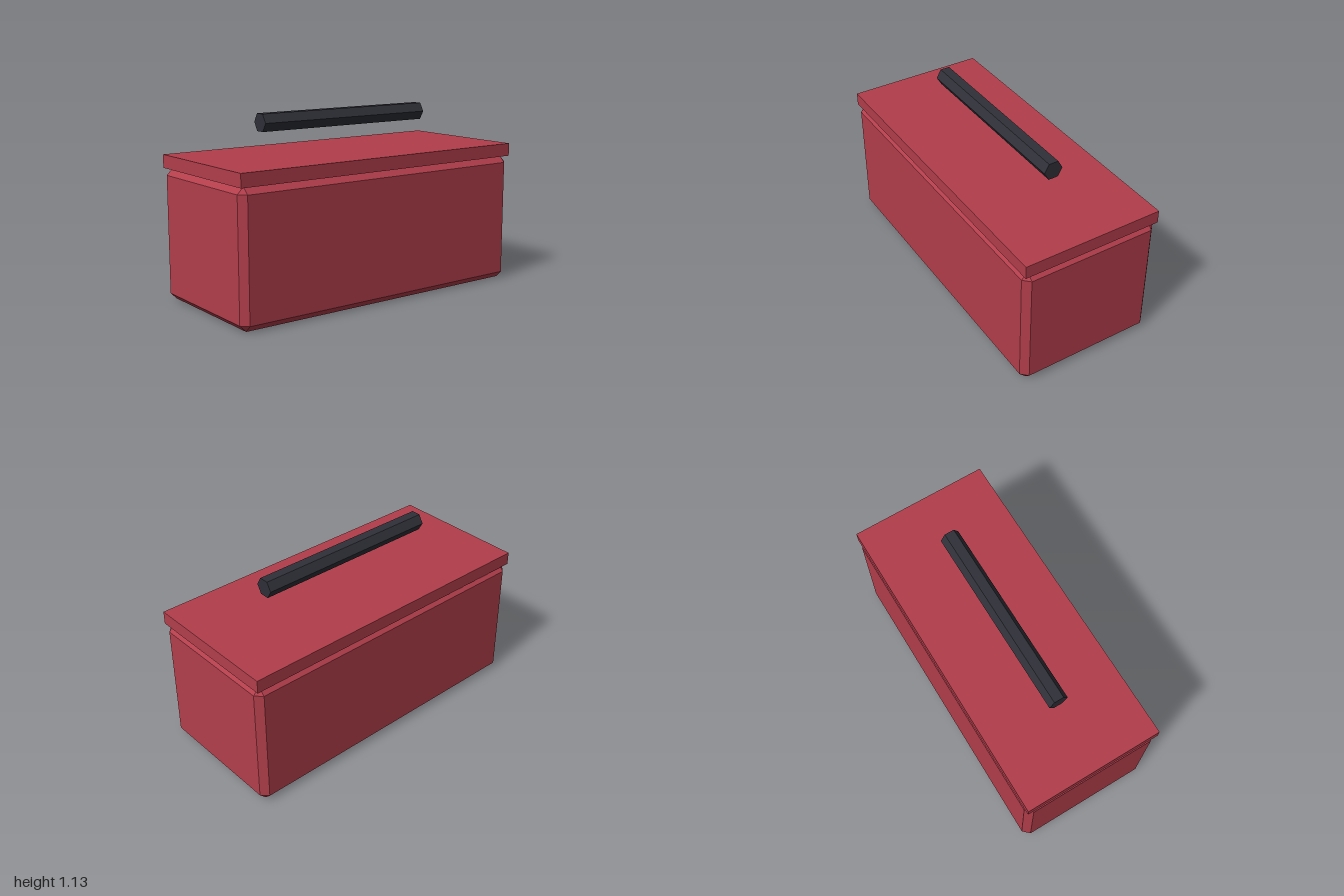
import * as THREE from 'three';
import { ConvexGeometry } from 'three/addons/geometries/ConvexGeometry.js';

// Box with every edge cut at 45 degrees and small triangular corners
function chamferedBox(w, h, d, c) {
  const points = [];
  const [x, y, z] = [w / 2, h / 2, d / 2];
  for (const sx of [-1, 1]) for (const sy of [-1, 1]) for (const sz of [-1, 1]) {
    points.push(
      new THREE.Vector3(sx * x, sy * (y - c), sz * (z - c)),
      new THREE.Vector3(sx * (x - c), sy * y, sz * (z - c)),
      new THREE.Vector3(sx * (x - c), sy * (y - c), sz * z)
    );
  }
  return new ConvexGeometry(points);
}

export function createModel() {
  const red = new THREE.MeshStandardMaterial({ color: 0xb23e4b, flatShading: true });
  red.name = 'red paint';
  const dark = new THREE.MeshStandardMaterial({ color: 0x2f3038, flatShading: true });
  dark.name = 'dark grip';

  const group = new THREE.Group();
  group.name = 'toolbox';
  const add = (name, geometry, material, y) => {
    const mesh = new THREE.Mesh(geometry, material);
    mesh.name = name;
    mesh.position.y = y;
    group.add(mesh);
  };

  // Chamfered body with a flat lid on top
  add('body', chamferedBox(2, 0.8, 0.88, 0.04), red, 0.4);
  add('lid', new THREE.BoxGeometry(2, 0.08, 0.88), red, 0.84);

  // Six-sided carrying bar floating above the lid
  add('handle', new THREE.CylinderGeometry(0.06, 0.06, 1.2, 6).rotateZ(Math.PI / 2), dark, 1.08);

  return group;
}
